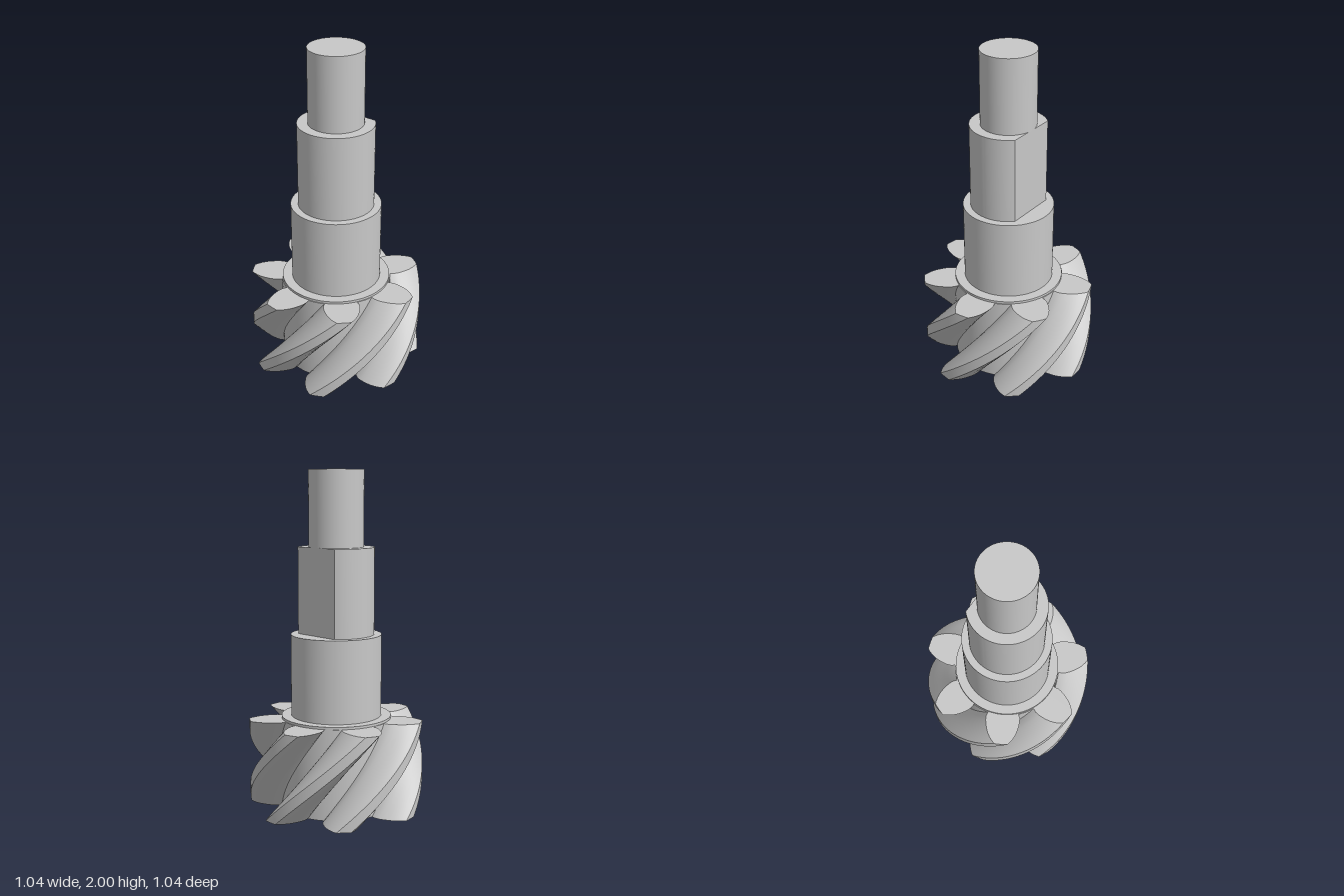
import * as THREE from 'three';
import { toCreasedNormals } from 'three/addons/utils/BufferGeometryUtils.js';

const DEG = Math.PI / 180;
const TEETH = 7, GEAR_H = 0.54, TWIST = 69.5 * DEG, TOP_ANGLE = 5.2 * DEG;
const TIP_R = 0.519, ROOT_R = 0.332;

// Half of a tooth: [radius, half-width in degrees], root to tip
const FLANK = [
  [ROOT_R, 17], [0.36, 17.1], [0.385, 16.1], [0.41, 14.5],
  [0.435, 12.8], [0.46, 10.9], [0.485, 8.6], [0.503, 6.6], [TIP_R, 4.7],
];

function gearShape() {
  const pts = [];
  const add = (r, a) => pts.push(new THREE.Vector2(r * Math.sin(a), -r * Math.cos(a)));
  const pitch = 2 * Math.PI / TEETH;
  for (let k = 0; k < TEETH; k++) {
    const c = TOP_ANGLE + k * pitch;
    FLANK.forEach(([r, w]) => add(r, c - w * DEG));
    for (const t of [-0.5, 0, 0.5]) add(TIP_R, c + t * 4.7 * DEG); // tip land
    [...FLANK].reverse().forEach(([r, w]) => add(r, c + w * DEG));
    const root = pitch - 34 * DEG; // root arc to the next tooth
    for (const t of [0.25, 0.5, 0.75]) add(ROOT_R, c + 17 * DEG + t * root);
  }
  const shape = new THREE.Shape(pts);
  shape.holes.push(new THREE.Path().absarc(0, 0, 0.197, 0, Math.PI * 2, true));
  return shape;
}

// Extrude a plan outline upwards
function extrudeUp(shape, depth, steps = 1) {
  const g = new THREE.ExtrudeGeometry(shape, { depth, steps, bevelEnabled: false, curveSegments: 48 });
  return g.rotateX(-Math.PI / 2);
}

export function createModel() {
  const group = new THREE.Group();
  const steel = new THREE.MeshStandardMaterial({ color: 0xc8c8c8 });
  steel.name = 'steel grey';
  const add = (name, geometry, y = 0) => {
    const mesh = new THREE.Mesh(geometry, steel);
    mesh.name = name;
    mesh.position.y = y;
    group.add(mesh);
  };

  // Helical gear with a blind bore: twist the extrusion about its axis
  const gear = extrudeUp(gearShape(), GEAR_H, 36);
  const pos = gear.attributes.position;
  const v = new THREE.Vector3(), up = new THREE.Vector3(0, 1, 0);
  for (let i = 0; i < pos.count; i++) {
    v.fromBufferAttribute(pos, i);
    v.applyAxisAngle(up, TWIST * (v.y / GEAR_H - 1));
    pos.setXYZ(i, v.x, v.y, v.z);
  }
  add('helicalGear', toCreasedNormals(gear, 28 * DEG));

  // Round shaft sections: name, radius, bottom, top
  for (const [name, r, y0, y1] of [
    ['gearCollar', 0.327, 0.54, 0.555],
    ['bearingSeat', 0.269, 0.555, 1.042],
    ['shaftEnd', 0.162, 1.555, 2],
  ]) add(name, new THREE.CylinderGeometry(r, r, y1 - y0, 96), (y0 + y1) / 2);

  // Middle section with one flat on the +x side
  const a = Math.acos(0.161 / 0.225);
  const dShape = new THREE.Shape().absarc(0, 0, 0.225, a, 2 * Math.PI - a, false);
  dShape.closePath();
  add('flattedShaft', toCreasedNormals(extrudeUp(dShape, 0.513), 25 * DEG), 1.042);

  return group;
}
